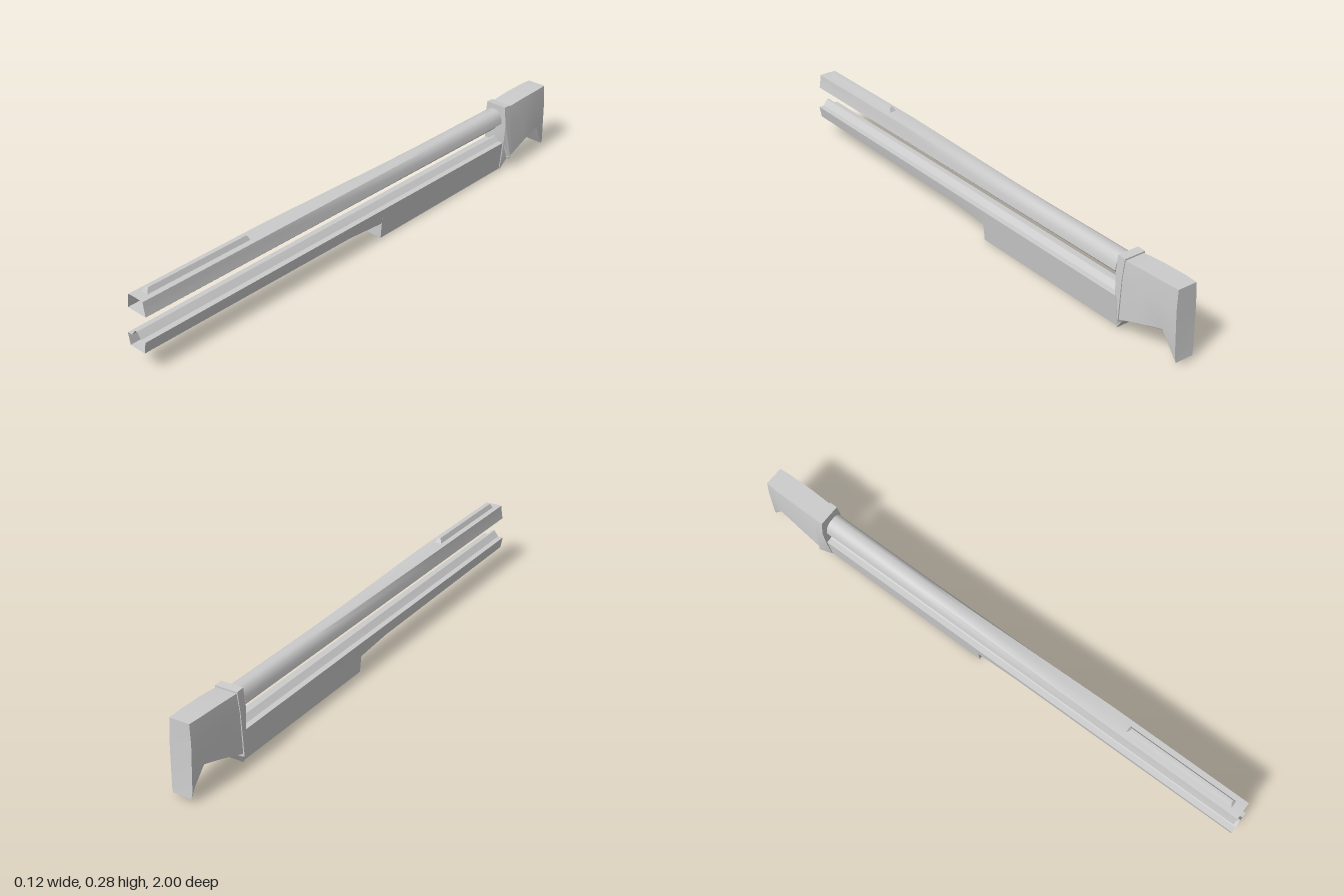
import * as THREE from 'three';
import { toCreasedNormals } from 'three/addons/utils/BufferGeometryUtils.js';

const material = new THREE.MeshStandardMaterial({ color: 0xcccccc, side: THREE.DoubleSide });

// One cross-section: half profile [x, y, dz] from top to bottom, placed at z
const section = (z, half) => half.map(([x, y, dz = 0]) => [x, y, z + dz]);

// Skin mirrored half sections, ordered front to back, with optional end caps
function loft(name, sections, { front = true, back = true } = {}) {
  const mirror = ([x, y, z]) => [-x, y, z];
  const rings = sections.map((s) => [...s, ...s.slice().reverse().map(mirror)]);
  const out = [];
  const quad = (a, b, c, d) => out.push(...a, ...b, ...c, ...a, ...c, ...d);
  for (let i = 0; i < rings.length - 1; i++) {
    const f = rings[i], r = rings[i + 1], n = f.length;
    for (let j = 0; j < n; j++) {
      const k = (j + 1) % n;
      quad(f[j], f[k], r[k], r[j]);
    }
  }
  const cap = (s, flip) => {
    for (let j = 0; j < s.length - 1; j++) {
      const q = [s[j], mirror(s[j]), mirror(s[j + 1]), s[j + 1]];
      quad(...(flip ? q.reverse() : q));
    }
  };
  if (front) cap(sections[0], false);
  if (back) cap(sections[sections.length - 1], true);

  const geometry = new THREE.BufferGeometry();
  geometry.setAttribute('position', new THREE.Float32BufferAttribute(out, 3));
  const mesh = new THREE.Mesh(toCreasedNormals(geometry, 0.5), material);
  mesh.name = name;
  return mesh;
}

export function createModel() {
  const group = new THREE.Group();
  group.name = 'longRailBody';

  // Upper rail: open trapezoid at the front easing into a rounded top
  const square = [[.012, .261], [.033, .26], [.035, .245], [.037, .23], [.041, .209], [.028, .209]];
  const round = [[.011, .257], [.022, .252], [.031, .241], [.036, .228], [.039, .207], [.028, .207]];
  const blend = (t) => square.map((p, i) => p.map((v, k) => v + (round[i][k] - v) * t));
  group.add(loft('upperRail', [[.99, 0], [.45, 0], [.2, .35], [-.1, .8], [-.3, 1], [-.725, 1]]
    .map(([z, t]) => section(z, blend(t))), { front: false }));

  // V-shaped keel under the upper rail, slanted at its front end
  group.add(loft('upperKeel', [
    section(.98, [[.028, .209], [.006, .179, -.03]]),
    section(-.725, [[.028, .208], [.006, .175]]),
  ]));

  // Raised rib on top of the upper rail
  group.add(loft('topRib', [
    section(.955, [[.005, .278, -.01], [.014, .259]]),
    section(.535, [[.005, .278, .01], [.014, .259]]),
  ]));

  // Lower rail: ridge on top, open front, stepping down to a deep rear block
  const lower = (z, ridge, bottom, width) => section(z,
    [[.004, ridge], [.021, .123], [.041, .122], [width, bottom]]);
  group.add(loft('lowerRail', [
    lower(1, .145, .079, .033),
    lower(.1, .143, .076, .034),
    lower(-.06, .142, .065, .035),
    lower(-.06, .142, .004, .03),
    lower(-.735, .14, .009, .03),
  ], { front: false }));

  // Collar plate joining both rails to the stock
  group.add(loft('collar', [
    section(-.737, [[.041, .27], [.049, .2], [.044, .12], [.031, .003]]),
    section(-.767, [[.041, .268], [.05, .2], [.058, .048], [.04, .045]]),
  ]));

  // Stock with a notched underside and a pointed lower heel
  group.add(loft('stock', [
    section(-.762, [[.038, .262], [.047, .2], [.053, .055], [.038, .052]]),
    section(-.85, [[.04, .268], [.047, .2], [.05, .086], [.036, .08]]),
    section(-.945, [[.039, .27], [.045, .2], [.045, .114], [.034, .106]]),
    section(-1, [[.036, .27, .01], [.04, .2, .008], [.038, .04, .002], [.034, .018]]),
  ]));

  return group;
}
